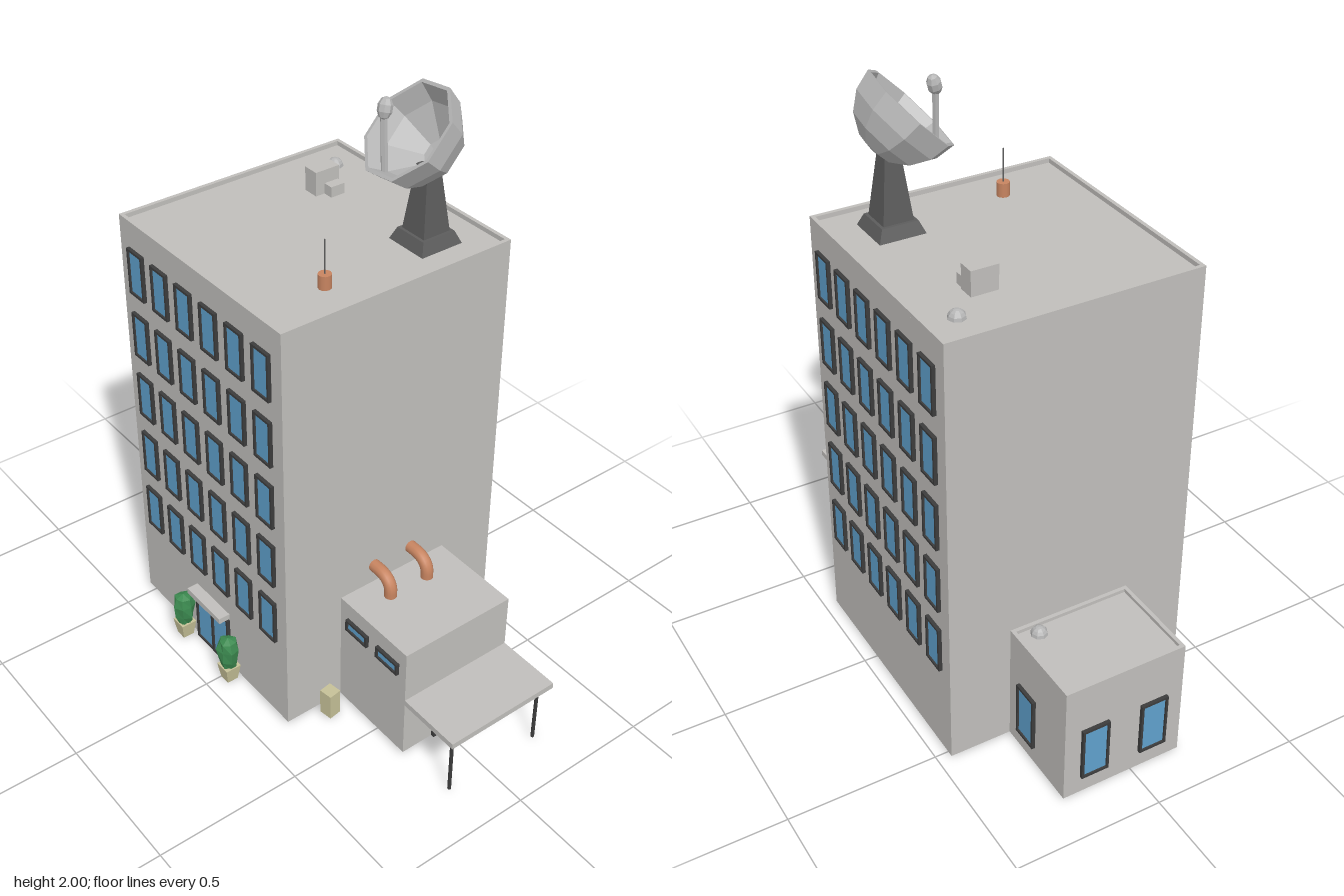
import * as THREE from 'three';

const mat = (name, color, flatShading = true) => {
  const m = new THREE.MeshStandardMaterial({ color, flatShading });
  m.name = name;
  return m;
};

export function createModel() {
  const M = {
    concrete: mat('concrete', 0xc0bebb),
    glass: mat('glass', 0x5fa0cc),
    frame: mat('dark frame', 0x3c3c3c),
    copper: mat('copper', 0xc78460, false),
    leaf: mat('leaf green', 0x3c8a50),
    pot: mat('khaki pot', 0xc5c097),
    metal: mat('pale metal', 0xb6b6b6),
    steel: mat('dark steel', 0x5c5c5c),
  };
  const model = new THREE.Group();
  model.name = 'officeBuilding';

  const add = (name, geo, material, x = 0, y = 0, z = 0, parent = model) => {
    const mesh = new THREE.Mesh(geo, material);
    mesh.name = name;
    mesh.position.set(x, y, z);
    parent.add(mesh);
    return mesh;
  };
  // Box given by its minimum and maximum corners
  const box = (name, material, [x0, y0, z0], [x1, y1, z1]) =>
    add(name, new THREE.BoxGeometry(x1 - x0, y1 - y0, z1 - z0), material,
      (x0 + x1) / 2, (y0 + y1) / 2, (z0 + z1) / 2);
  // Rectangular ring in the xy plane, extruded along +z
  const ring = (w, h, t, depth) => {
    const rect = (C, a, b) => new C([[-a, -b], [a, -b], [a, b], [-a, b]].map(p => new THREE.Vector2(...p)));
    const s = rect(THREE.Shape, w / 2, h / 2);
    s.holes.push(rect(THREE.Path, w / 2 - t, h / 2 - t));
    return new THREE.ExtrudeGeometry(s, { depth, bevelEnabled: false });
  };

  // Blocks with a raised parapet
  const block = (name, x0, x1, z0, z1, top, lip) => {
    box(name, M.concrete, [x0, 0.01, z0], [x1, top - lip, z1]);
    if (lip) {
      const g = ring(x1 - x0, z1 - z0, 0.013, lip).rotateX(-Math.PI / 2);
      add(name + 'Parapet', g, M.concrete, (x0 + x1) / 2, top - lip, (z0 + z1) / 2);
    }
  };
  block('tower', -0.53, 0.31, -0.458, 0.387, 1.52, 0.015);
  block('leftOffice', -0.85, -0.53, -0.248, 0.172, 0.435, 0.012);
  block('rightOffice', 0.31, 0.635, -0.247, 0.172, 0.435, 0);

  // Windows and glazed doors, placed on a wall and turned outward
  const paneGeo = (w, h) => new THREE.BoxGeometry(w, h, 0.006);
  const windowAt = (name, w, h, x, y, z, turn = 0, bars = 0) => {
    const g = new THREE.Group();
    g.name = name;
    add('windowFrame', ring(w, h, 0.008, 0.012), M.frame, 0, 0, 0, g);
    add('windowPane', paneGeo(w - 0.014, h - 0.014), M.glass, 0, 0, 0.003, g);
    if (bars) add('doorBar', new THREE.BoxGeometry(0.01, h, 0.012), M.frame, 0, 0, 0.006, g);
    g.position.set(x, y, z);
    g.rotation.y = turn;
    model.add(g);
  };
  for (let r = 0; r < 5; r++) {
    for (let c = 0; c < 6; c++) {
      const x = -0.44 + c * 0.1318, y = 1.347 - r * 0.2335;
      windowAt('frontWindow', 0.083, 0.162, x, y, 0.387);
      windowAt('backWindow', 0.083, 0.162, x, y, -0.458, Math.PI);
    }
  }
  windowAt('leftOfficeFrontWindow', 0.096, 0.192, -0.635, 0.17, 0.172);
  windowAt('leftOfficeBackWindow', 0.096, 0.192, -0.635, 0.17, -0.248, Math.PI);
  for (const z of [-0.143, 0.067]) windowAt('leftOfficeSideWindow', 0.096, 0.192, -0.85, 0.17, z, -Math.PI / 2);
  for (const x of [0.4, 0.55]) windowAt('highWindow', 0.105, 0.044, x, 0.354, 0.172);
  windowAt('mainDoor', 0.19, 0.205, -0.108, 0.113, 0.387, 0, 1);
  windowAt('sideDoor', 0.167, 0.16, 0.635, 0.09, -0.03, Math.PI / 2, 1);

  // Canopies and posts
  box('mainDoorCanopy', M.concrete, [-0.204, 0.222, 0.38], [-0.014, 0.243, 0.428]);
  box('sideCanopy', M.concrete, [0.635, 0.222, -0.247], [0.86, 0.243, 0.172]);
  for (const z of [0.145, -0.21]) {
    add('canopyPost', new THREE.CylinderGeometry(0.006, 0.006, 0.224, 8), M.frame, 0.83, 0.112, z);
  }

  // Bent pipes from the tower wall into the right roof
  for (const z of [0.04, -0.11]) {
    const path = new THREE.CurvePath();
    const v = (x, y) => new THREE.Vector3(x, y, 0);
    path.add(new THREE.LineCurve3(v(0.3, 0.504), v(0.34, 0.504)));
    path.add(new THREE.CubicBezierCurve3(v(0.34, 0.504), v(0.373, 0.504), v(0.396, 0.484), v(0.396, 0.455)));
    path.add(new THREE.LineCurve3(v(0.396, 0.455), v(0.396, 0.42)));
    add('roofPipe', new THREE.TubeGeometry(path, 20, 0.021, 12), M.copper, 0, 0, z);
  }

  // Potted shrubs beside the main door
  [-0.24, 0.028].forEach((x, k) => {
    const pot = new THREE.CylinderGeometry(0.04, 0.028, 0.06, 4).rotateY(Math.PI / 4);
    add('shrubPot', pot, M.pot, x, 0.04, 0.425);
    const pts = [[0, 0.05], [0.022, 0.06], [0.034, 0.1], [0.037, 0.145], [0.029, 0.178], [0, 0.19]];
    const shrub = new THREE.LatheGeometry(pts.map(p => new THREE.Vector2(...p)), 7);
    const p = shrub.attributes.position;
    for (let i = 0; i < p.count; i++) {
      const a = Math.atan2(p.getX(i), p.getZ(i));
      const s = 1 + 0.13 * Math.sin(3 * a + p.getY(i) * 90);
      p.setX(i, p.getX(i) * s);
      p.setZ(i, p.getZ(i) * s);
    }
    add('shrub', shrub, M.leaf, x, 0, 0.425).rotation.y = k * 1.3;
  });
  add('litterBin', new THREE.BoxGeometry(0.047, 0.096, 0.045), M.pot, 0.356, 0.058, 0.25).rotation.y = 0.15;

  // Small rooftop equipment
  box('ventUnit', M.concrete, [-0.332, 1.5, -0.265], [-0.276, 1.587, -0.175]);
  box('ventUnitSmall', M.concrete, [-0.276, 1.5, -0.26], [-0.241, 1.541, -0.208]);
  const dome = () => new THREE.SphereGeometry(0.028, 8, 4, 0, Math.PI * 2, 0, Math.PI / 2);
  add('towerDome', dome(), M.metal, -0.407, 1.505, -0.35);
  add('officeDome', dome(), M.metal, -0.573, 0.423, -0.172);
  add('aerialBase', new THREE.CylinderGeometry(0.021, 0.021, 0.046, 12), M.copper, 0.17, 1.528, 0.13);
  add('aerialRod', new THREE.CylinderGeometry(0.0025, 0.0025, 0.115, 6), M.steel, 0.17, 1.605, 0.13);

  // Dish pedestal: square tapering tower
  const tier = (top, bottom, y0, y1) =>
    add('dishPedestal', new THREE.CylinderGeometry(top * Math.SQRT2, bottom * Math.SQRT2, y1 - y0, 4)
      .rotateY(Math.PI / 4), M.steel, 0.14, (y0 + y1) / 2, -0.27);
  tier(0.06, 0.077, 1.505, 1.545);
  tier(0.025, 0.05, 1.545, 1.76);

  // Faceted bowl: outer hemisphere, rim, shallower inner surface
  const R = 0.168;
  const profile = [0, 22, 45, 68, 90].map(d => {
    const a = THREE.MathUtils.degToRad(d);
    return new THREE.Vector2(R * Math.sin(a), -R * Math.cos(a));
  });
  profile.push(...[[0.156, 0], [0.13, -0.06], [0.045, -0.135], [0, -0.14]].map(p => new THREE.Vector2(...p)));
  const bowl = add('dishBowl', new THREE.LatheGeometry(profile, 8, Math.PI / 8), M.metal, 0.122, 1.882, -0.2);
  bowl.quaternion.setFromUnitVectors(new THREE.Vector3(0, 1, 0), new THREE.Vector3(-0.15, 0.7, 0.7).normalize());

  // Receiver arm and horn
  const arm = new THREE.LineCurve3(new THREE.Vector3(0.104, 1.755, -0.135), new THREE.Vector3(0.088, 1.95, -0.14));
  add('receiverArm', new THREE.TubeGeometry(arm, 1, 0.011, 6), M.metal);
  const horn = add('receiverHorn', new THREE.SphereGeometry(0.026, 8, 5).scale(0.9, 1.3, 0.9), M.metal, 0.09, 1.953, -0.143);
  horn.rotation.set(-0.3, 0, 0.15);

  return model;
}
